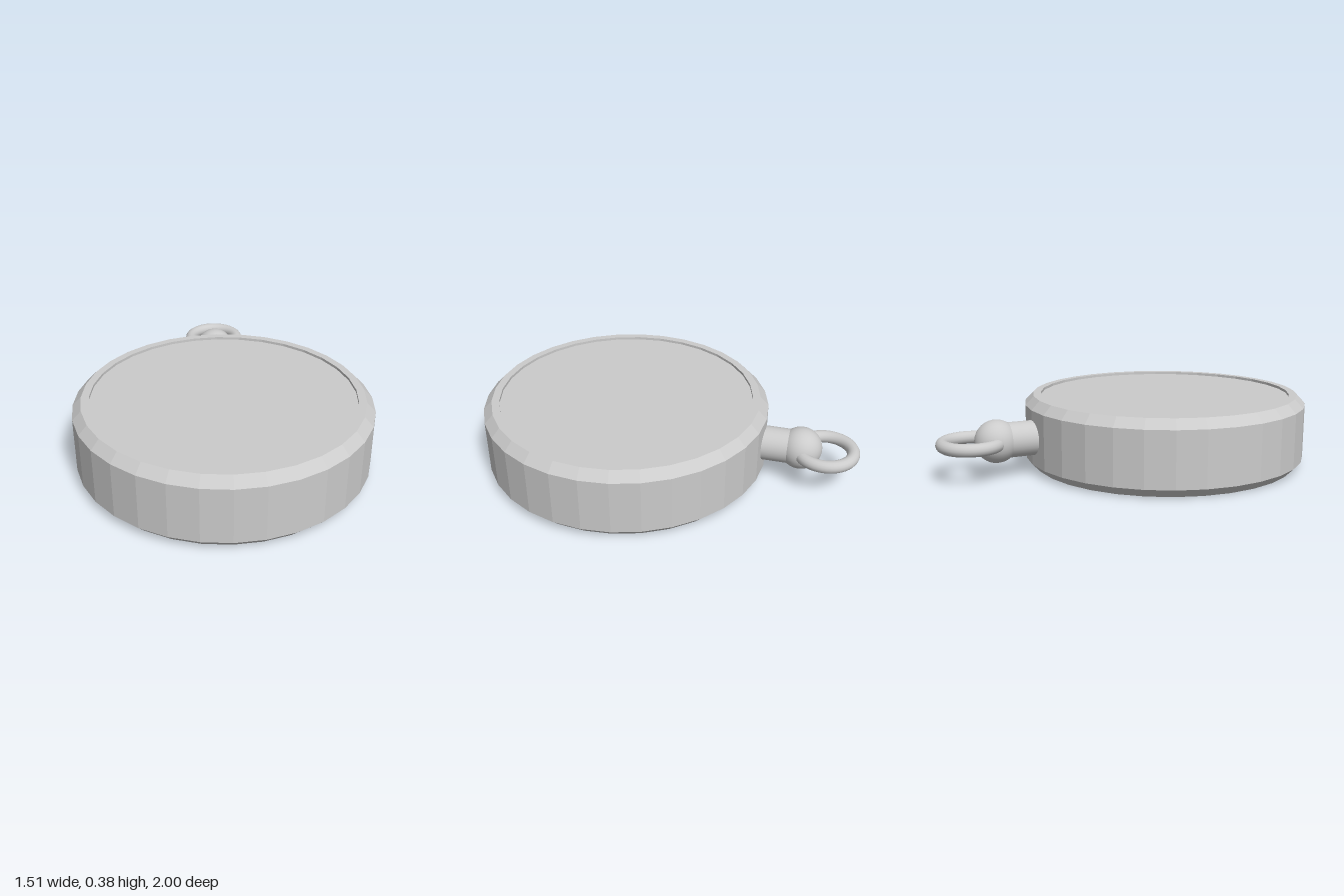
import * as THREE from 'three';

const CASE_Z = 0.245; // centre of the round case
const MID_Y = 0.19; // mid height shared by all parts

export function createModel() {
  const group = new THREE.Group();
  const smooth = new THREE.MeshStandardMaterial({ color: 0xcccccc });
  const faceted = new THREE.MeshStandardMaterial({ color: 0xcccccc, flatShading: true });

  const add = (name, geometry, material, y, z) => {
    const mesh = new THREE.Mesh(geometry, material);
    mesh.name = name;
    mesh.position.set(0, y, z);
    group.add(mesh);
    return mesh;
  };

  // Chamfered case with a raised lip around the dial
  const profile = [
    [0, 0], [0.71, 0], [0.755, 0.046], [0.755, 0.332],
    [0.71, 0.378], [0.67, 0.378], [0.67, 0.364],
  ].map(([r, y]) => new THREE.Vector2(r, y));
  add('case', new THREE.LatheGeometry(profile, 32), faceted, 0, CASE_Z);

  // Dial set just below the lip
  const dial = new THREE.CircleGeometry(0.67, 32).rotateX(-Math.PI / 2);
  add('dial', dial, smooth, 0.364, CASE_Z);

  // Stem running from inside the case back into the crown
  const stem = new THREE.CylinderGeometry(0.09, 0.09, 0.2, 32).rotateX(Math.PI / 2);
  add('stem', stem, smooth, MID_Y, -0.56);

  // Ball crown
  const crown = new THREE.SphereGeometry(0.11, 32, 24).rotateX(Math.PI / 2);
  add('crown', crown, smooth, MID_Y, -0.697);

  // Flat-lying hanging ring
  const ring = new THREE.TorusGeometry(0.142, 0.033, 16, 48).rotateX(Math.PI / 2);
  add('hangingRing', ring, smooth, MID_Y, -0.825);

  return group;
}
